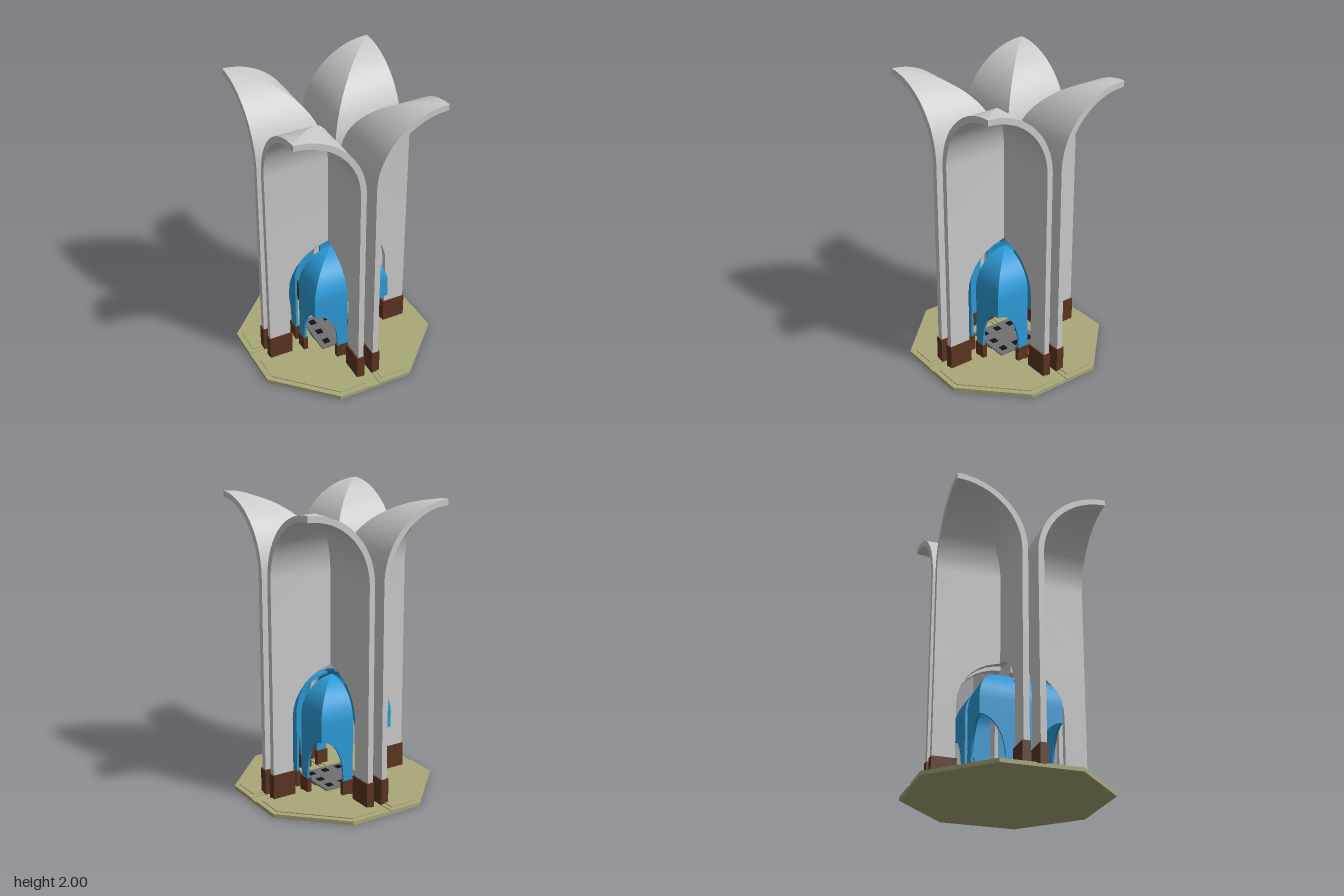
import * as THREE from 'three';
import { toCreasedNormals } from 'three/addons/utils/BufferGeometryUtils.js';

const mat = (color) => new THREE.MeshStandardMaterial({ color });
const GREY = mat(0xcccccc), BLUE = mat(0x2e9bd8), BROWN = mat(0x5c3521);
const STONE = mat(0xaaa878), PAVING = mat(0x707074), BLACK = mat(0x111111);
const FLOOR = 0.03;

function add(parent, name, geometry, material) {
  const mesh = new THREE.Mesh(geometry, material);
  mesh.name = name;
  parent.add(mesh);
  return mesh;
}

// Box given by its limits on each axis
function box(parent, name, material, [x0, x1], [y0, y1], [z0, z1]) {
  const mesh = add(parent, name, new THREE.BoxGeometry(x1 - x0, y1 - y0, z1 - z0), material);
  mesh.position.set((x0 + x1) / 2, (y0 + y1) / 2, (z0 + z1) / 2);
}

// Lofts four-cornered sections [along, depth, height] into a closed wall.
// swap mirrors the wall across the diagonal of its quadrant.
function loftWall(rows, swap, flip) {
  const pos = [];
  const point = ([u, d, y]) => (swap ? [d, y, u] : [u, y, d]);
  const quad = (a, b, c, d) => {
    const order = flip !== swap ? [a, c, b, a, d, c] : [a, b, c, a, c, d];
    order.forEach((p) => pos.push(...point(p)));
  };
  for (let i = 0; i < rows.length - 1; i++) {
    for (let k = 0; k < 4; k++) {
      const n = (k + 1) % 4;
      quad(rows[i][k], rows[i][n], rows[i + 1][n], rows[i + 1][k]);
    }
  }
  const first = rows[0], last = rows[rows.length - 1];
  quad(first[3], first[2], first[1], first[0]);
  quad(last[0], last[1], last[2], last[3]);
  const g = new THREE.BufferGeometry();
  g.setAttribute('position', new THREE.Float32BufferAttribute(pos, 3));
  return toCreasedNormals(g, 0.45);
}

const steps = (n, f) => Array.from({ length: n + 1 }, (_, i) => f((i / n) * Math.PI / 2));

// Tall petal: upright near the axis, then flaring outward; arched opening at its inner corner
function petalRows() {
  const edge = 0.52, inner = 0.035, thick = 0.04, spring = 1.515, R = edge - inner;
  const row = (go, yo, gi, yi, open) => [
    [Math.max(go, open), go, yo], [edge, go, yo], [edge, gi, yi], [Math.max(gi, open), gi, yi]];
  const rows = [row(inner, FLOOR, inner + thick, FLOOR, 0.37)];
  steps(8, (a) => {
    const y = 0.57 + 0.32 * Math.sin(a);
    rows.push(row(inner, y, inner + thick, y, inner + 0.335 * Math.cos(a)));
  });
  steps(20, (a) => {
    const c = Math.cos(a), s = Math.sin(a), r = R - thick;
    rows.push(row(edge - R * c, spring + R * s, edge - r * c, spring + r * s, 0));
  });
  return rows;
}

// Small vault: upright outside, closing inward at the top; arched doorway at its outer corner
function vaultRows() {
  const inner = 0.03, outer = 0.277, thick = 0.015, spring = 0.555, R = outer - inner;
  const row = (go, yo, gi, yi, open) => [
    [inner, go, yo], [Math.min(go, open), go, yo], [Math.min(gi, open), gi, yi], [inner, gi, yi]];
  const rows = [row(outer, FLOOR, outer - thick, FLOOR, 0.105)];
  steps(12, (a) => {
    const y = 0.17 + 0.27 * Math.sin(a);
    rows.push(row(outer, y, outer - thick, y, outer - 0.172 * Math.cos(a)));
  });
  steps(14, (a) => {
    const c = Math.cos(a), s = Math.sin(a), r = R - thick;
    rows.push(row(inner + R * c, spring + R * s, inner + r * c, spring + r * s, 1));
  });
  return rows;
}

// Quarter of an octagonal slab, kept a margin away from both axes
function quarterSlab(margin, r, y0, y1) {
  const t = r * Math.tan(Math.PI / 8);
  const shape = new THREE.Shape([[margin, margin], [r, margin], [r, t], [t, r], [margin, r]]
    .map(([x, y]) => new THREE.Vector2(x, y)));
  const g = new THREE.ExtrudeGeometry(shape, { depth: y1 - y0, bevelEnabled: false });
  return g.rotateX(Math.PI / 2).translate(0, y1, 0);
}

function buildQuadrant() {
  const q = new THREE.Group();
  q.name = 'quadrant';
  add(q, 'plinthQuarter', quarterSlab(0, 0.635, 0, 0.02), STONE);
  add(q, 'plinthBorder', quarterSlab(0.03, 0.635, 0.01, 0.026), STONE);
  add(q, 'plinthPanel', quarterSlab(0.06, 0.6, 0.015, FLOOR + 0.002), STONE);
  for (const swap of [false, true]) {
    add(q, 'petalWall', loftWall(petalRows(), swap, true), GREY);
    add(q, 'vaultWall', loftWall(vaultRows(), swap, false), BLUE);
    const foot = (name, along, y, depth) =>
      box(q, name, BROWN, swap ? depth : along, y, swap ? along : depth);
    foot('petalFoot', [0.36, 0.526], [0.02, 0.198], [0.029, 0.085]);
    foot('vaultFoot', [0.026, 0.112], [0.02, 0.13], [0.252, 0.284]);
  }
  return q;
}

export function createModel() {
  const model = new THREE.Group();
  model.name = 'petalPavilion';

  // Four equal corners turned about the axis
  for (let i = 0; i < 4; i++) {
    const q = buildQuadrant();
    q.rotation.y = i * Math.PI / 2;
    model.add(q);
  }

  // Paved centre with a ring of dark tiles
  box(model, 'pavedFloor', PAVING, [-0.168, 0.168], [0.018, 0.042], [-0.168, 0.168]);
  for (let i = -1; i <= 1; i++) {
    for (let j = -1; j <= 1; j++) {
      if (i === 0 && j === 0) continue;
      const x = i * 0.11, z = j * 0.11, h = 0.022;
      box(model, 'darkTile', BLACK, [x - h, x + h], [0.03, 0.046], [z - h, z + h]);
    }
  }

  // Ties joining neighbouring petals
  for (const s of [-1, 1]) {
    box(model, 'petalTie', GREY, [-0.037, 0.037], [1.462, 1.508], [s * 0.096 - 0.028, s * 0.096 + 0.028]);
  }
  return model;
}
